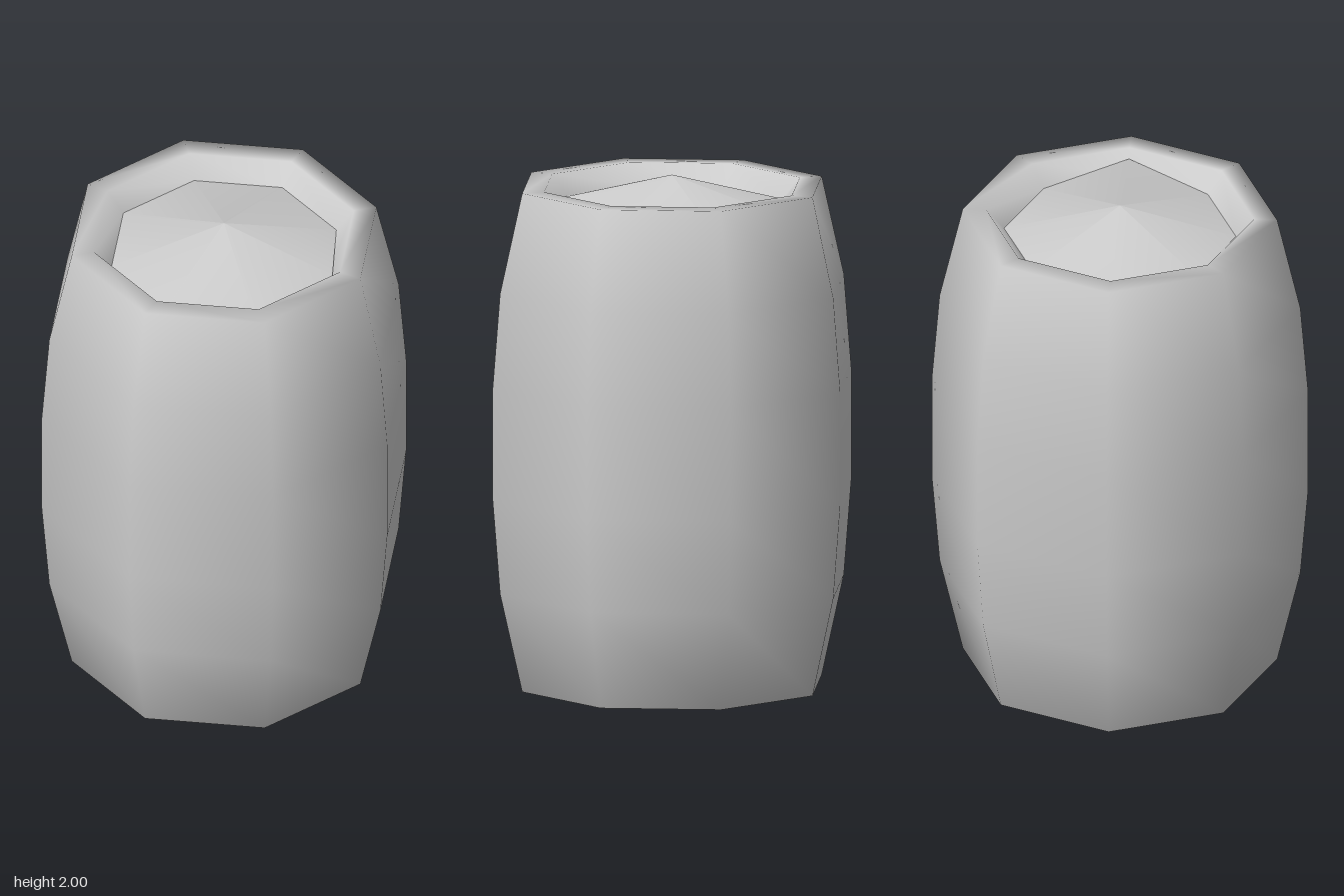
import * as THREE from 'three';

const SIDES = 8;

// Eight-sided turned part with smooth normals, from [radius, height] pairs
function turned(name, profile, material) {
  const points = profile.map(([r, y]) => new THREE.Vector2(r, y));
  const mesh = new THREE.Mesh(new THREE.LatheGeometry(points, SIDES), material);
  mesh.name = name;
  return mesh;
}

export function createModel() {
  const model = new THREE.Group();
  model.name = 'barrel';
  const material = new THREE.MeshStandardMaterial({ color: 0xcccccc, side: THREE.DoubleSide });

  // Bulging wall with a rim turned inwards at both ends
  const body = turned('barrelWall', [
    [0.45, 0.08], [0.52, 0], [0.61, 0],
    [0.70, 0.39], [0.73, 0.76], [0.73, 1.20], [0.70, 1.57],
    [0.61, 1.96], [0.52, 1.96], [0.45, 1.88],
  ], material);

  // Recessed floor underneath
  const base = turned('barrelBase', [[0, 0.08], [0.45, 0.08]], material);

  // Domed lid, sitting a little higher on its left edge
  const lid = turned('barrelLid', [[0.45, 1.88], [0, 2]], material);
  const pos = lid.geometry.attributes.position;
  for (let i = 0; i < pos.count; i++) {
    if (pos.getX(i) > 0.4) pos.setXYZ(i, 0.485, 1.93, 0);
  }

  model.add(body, base, lid);
  return model;
}
